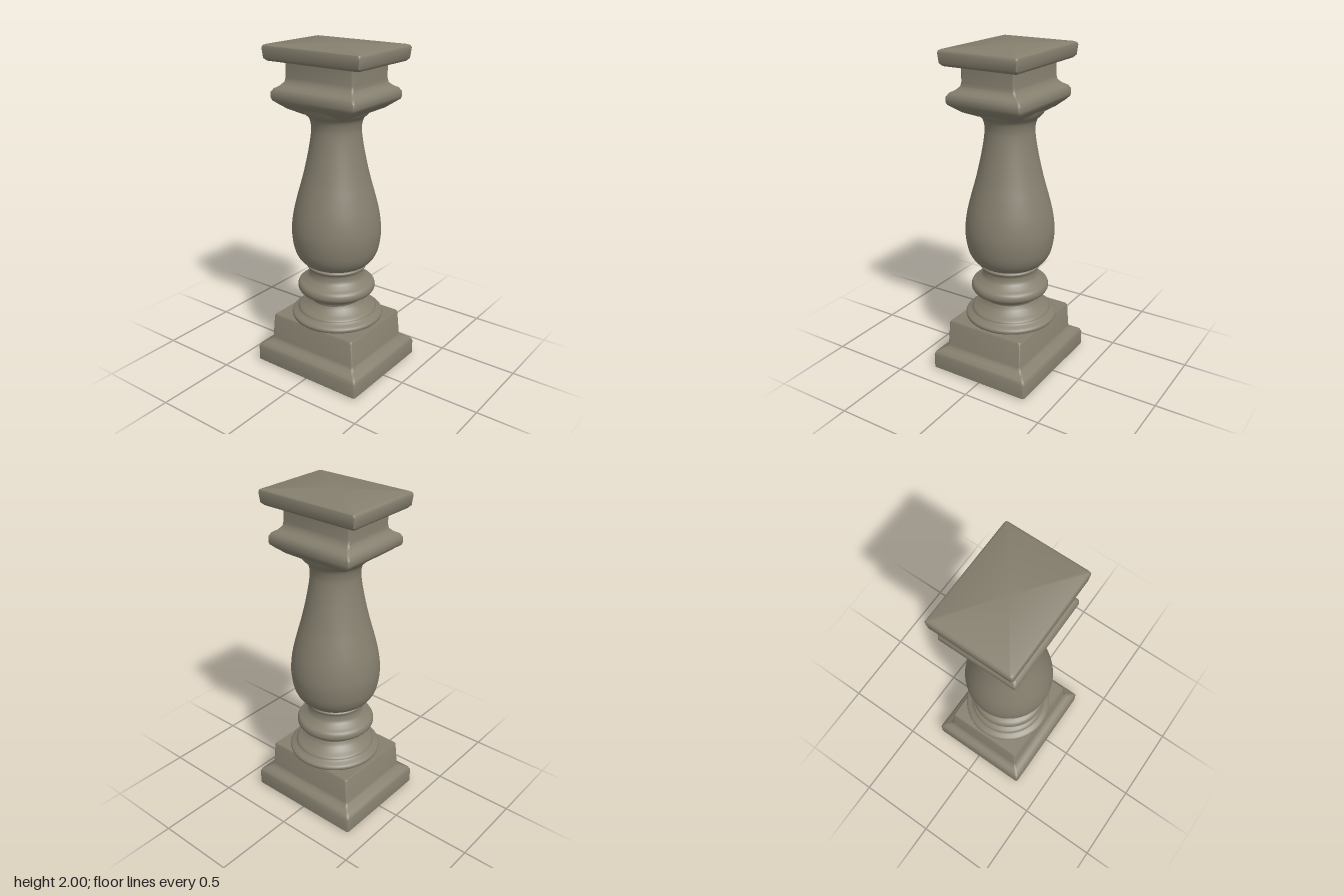
import * as THREE from 'three';
import { toCreasedNormals } from 'three/addons/utils/BufferGeometryUtils.js';

// Rounded-rectangle loop with half sizes hx, hz; r is the corner radius
function rectLoop(hx, hz, r) {
  r = Math.min(r, hx, hz);
  const pts = [];
  [[1, 1], [-1, 1], [-1, -1], [1, -1]].forEach(([sx, sz], c) => {
    for (let k = 0; k <= 3; k++) {
      const a = (c + k / 3) * Math.PI / 2;
      pts.push([sx * (hx - r) + r * Math.cos(a), sz * (hz - r) + r * Math.sin(a)]);
    }
  });
  return pts;
}

// Skin through levels [y, halfX, halfZ], bottom to top; zero-size levels close the ends
function rectLoft(levels, radius) {
  const pos = [], index = [], n = 16;
  for (const [y, hx, hz] of levels) {
    for (const [x, z] of rectLoop(hx, hz, radius)) pos.push(x, y, z);
  }
  for (let l = 0; l < levels.length - 1; l++) {
    for (let j = 0; j < n; j++) {
      const a = l * n + j, b = l * n + (j + 1) % n;
      index.push(a, a + n, b, b, a + n, b + n);
    }
  }
  const g = new THREE.BufferGeometry();
  g.setAttribute('position', new THREE.Float32BufferAttribute(pos, 3));
  g.setIndex(index);
  return toCreasedNormals(g, 0.75);
}

// Round turning through smoothed [radius, y] points
function turned(profile) {
  const curve = new THREE.SplineCurve(profile.map(([r, y]) => new THREE.Vector2(r, y)));
  return new THREE.LatheGeometry(curve.getPoints(profile.length * 5), 56);
}

export function createModel() {
  const model = new THREE.Group();
  model.name = 'baluster';
  const stone = new THREE.MeshStandardMaterial({ color: 0x857f6e });
  stone.name = 'weathered stone';
  const add = (name, geometry) => {
    const mesh = new THREE.Mesh(geometry, stone);
    mesh.name = name;
    model.add(mesh);
    return mesh;
  };

  // Stepped rectangular foot
  add('plinth', rectLoft([
    [0, 0, 0], [0, 0.315, 0.36], [0.012, 0.328, 0.374], [0.1, 0.328, 0.375],
    [0.12, 0.32, 0.367], [0.135, 0.295, 0.34], [0.15, 0.27, 0.318], [0.17, 0.262, 0.31],
    [0.315, 0.256, 0.298], [0.325, 0.25, 0.292], [0.325, 0, 0],
  ], 0.012));

  // Round moulding sitting on the plinth, slightly off centre
  add('baseRing', turned([
    [0.262, 0.315], [0.28, 0.33], [0.278, 0.35], [0.245, 0.37], [0.235, 0.385],
    [0.205, 0.405], [0.178, 0.43], [0.164, 0.455],
  ])).position.x = 0.008;

  // Ring collar under the belly
  add('collar', turned([
    [0.16, 0.44], [0.168, 0.465], [0.195, 0.487], [0.226, 0.503], [0.238, 0.527],
    [0.23, 0.555], [0.2, 0.575], [0.172, 0.6], [0.163, 0.63], [0.166, 0.65],
    [0.18, 0.66], [0.181, 0.672], [0.166, 0.682],
  ]));

  // Pear-shaped shaft flaring out under the capital
  add('shaft', turned([
    [0.155, 0.672], [0.195, 0.69], [0.23, 0.725], [0.255, 0.78], [0.268, 0.86],
    [0.268, 0.93], [0.255, 1.02], [0.23, 1.12], [0.202, 1.22], [0.178, 1.32],
    [0.158, 1.42], [0.147, 1.5], [0.148, 1.545], [0.16, 1.585], [0.19, 1.615],
    [0.21, 1.65],
  ]));

  // Rectangular moulding and neck block
  add('capitalMoulding', rectLoft([
    [1.605, 0, 0], [1.605, 0.135, 0.145], [1.635, 0.185, 0.215], [1.665, 0.22, 0.255],
    [1.685, 0.238, 0.284], [1.7, 0.241, 0.291], [1.73, 0.24, 0.29], [1.75, 0.228, 0.277],
    [1.765, 0.2, 0.255], [1.785, 0.178, 0.238], [1.81, 0.172, 0.235], [1.92, 0.17, 0.235],
    [1.92, 0, 0],
  ], 0.012));

  // Top slab with a faintly crowned face
  add('capSlab', rectLoft([
    [1.893, 0, 0], [1.895, 0.19, 0.255], [1.903, 0.235, 0.315], [1.918, 0.249, 0.33],
    [1.975, 0.254, 0.336], [1.987, 0.25, 0.331], [1.993, 0.238, 0.318], [2, 0, 0],
  ], 0.012));

  return model;
}
